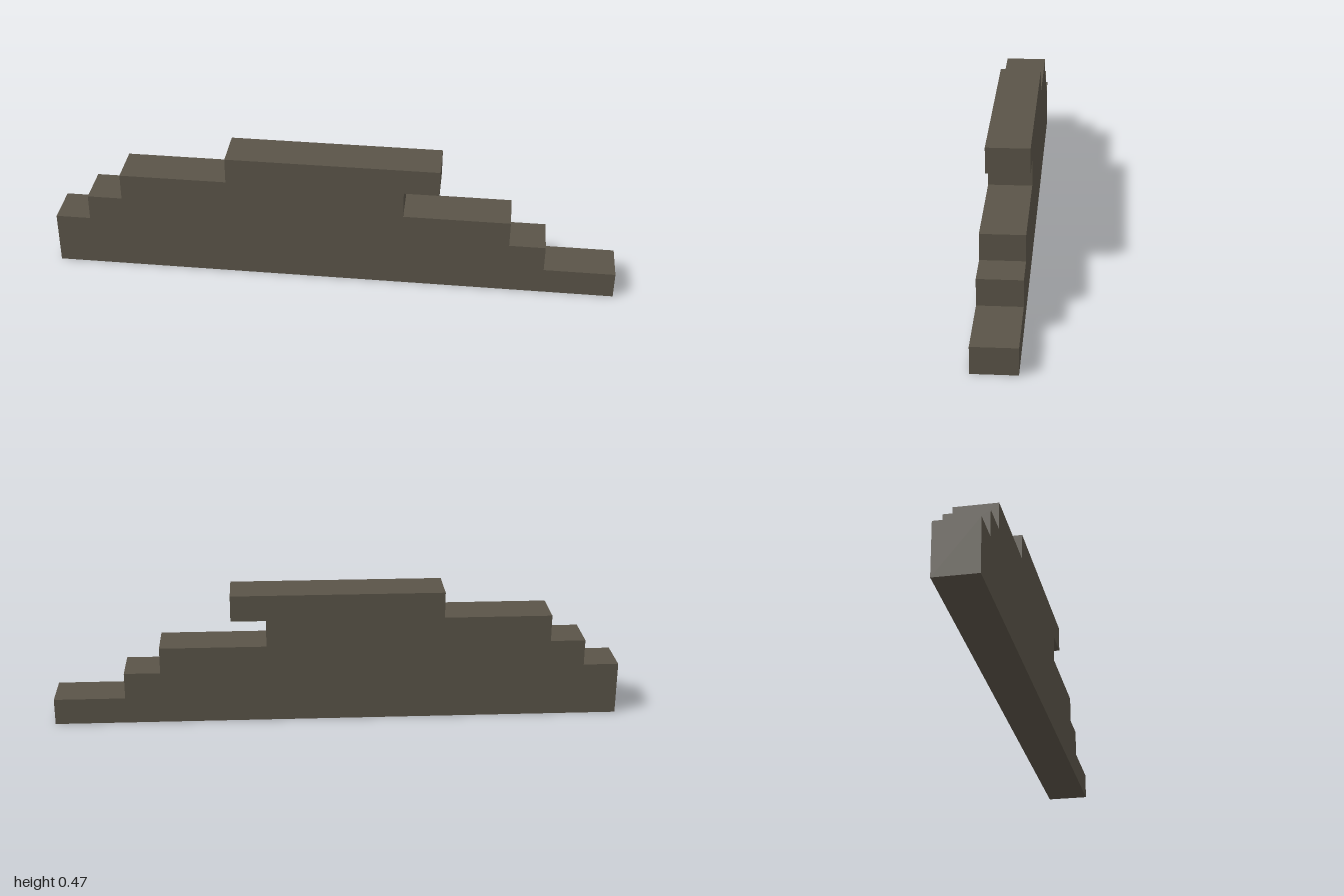
import * as THREE from 'three';

export function createModel() {
  const group = new THREE.Group();
  group.name = 'steppedSlab';
  const stone = new THREE.MeshStandardMaterial({ color: 0x5a5448 });
  stone.name = 'dark stone';

  // Stepped outline with an overhanging top ledge, counter-clockwise from the lower left
  const depth = 0.15;
  const [y1, y2, y3, y4, y5] = [0.094, 0.188, 0.281, 0.377, 0.47];
  const outline = [
    [-1, 0], [1, 0], [1, y1], [0.75, y1], [0.75, y2], [0.623, y2], [0.623, y3],
    [0.249, y3], [0.249, y4], [0.372, y4], [0.372, y5], [-0.375, y5], [-0.375, y4],
    [-0.753, y4], [-0.753, y3], [-0.876, y3], [-0.876, y2], [-1, y2],
  ];
  const shape = new THREE.Shape(outline.map(([x, y]) => new THREE.Vector2(x, y)));
  const geometry = new THREE.ExtrudeGeometry(shape, { depth, bevelEnabled: false });
  geometry.translate(0, 0, -depth / 2);

  const slab = new THREE.Mesh(geometry, stone);
  slab.name = 'steppedBody';
  group.add(slab);
  return group;
}
